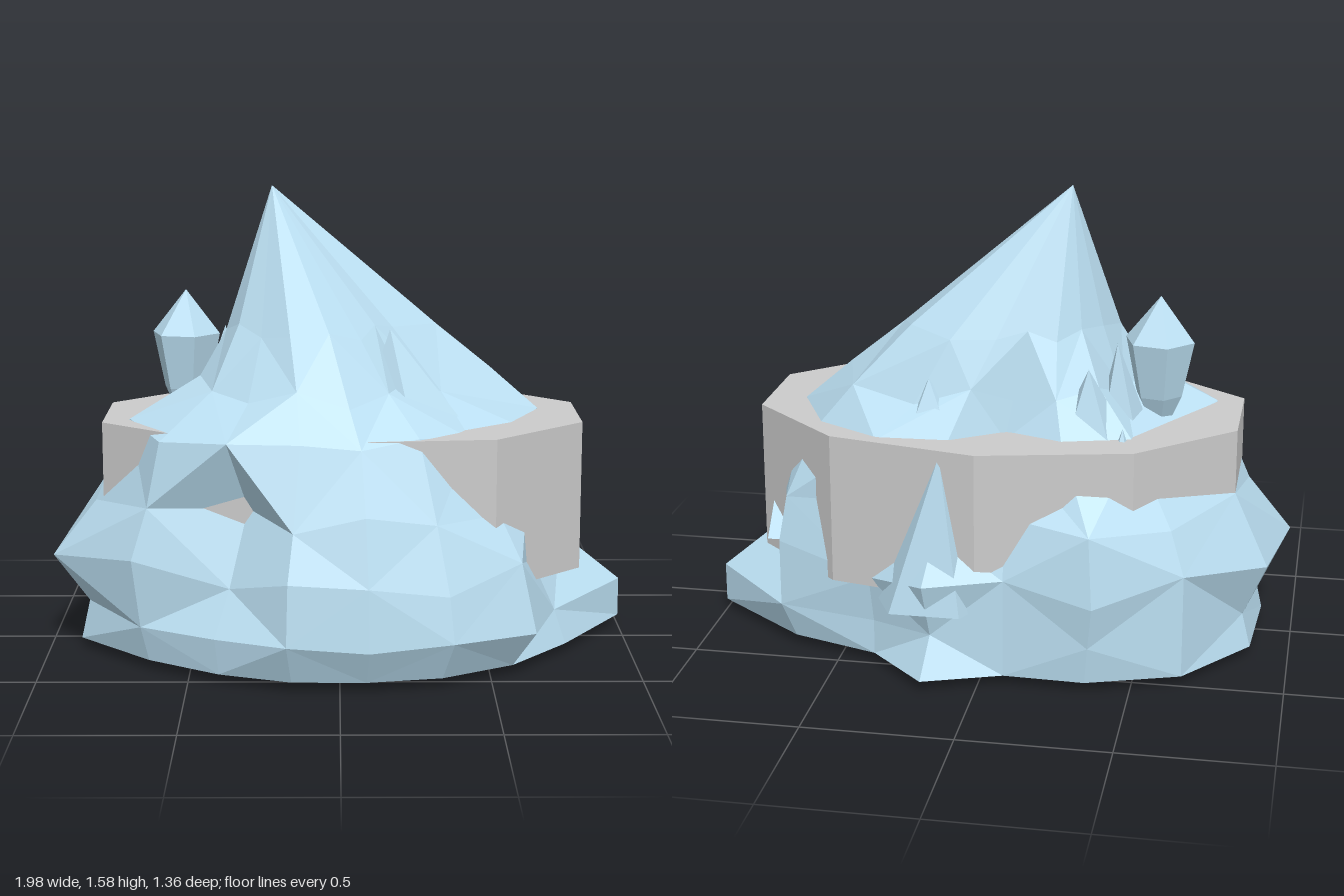
import * as THREE from 'three';

const ice = new THREE.MeshStandardMaterial({ color: 0xbbdff2, flatShading: true });
const stone = new THREE.MeshStandardMaterial({ color: 0xcccccc, flatShading: true });
const SIDES = 16;

// Rings of the mound: height, height jitter, centre x, centre z, radius per direction.
// Directions run from the model's left (+x) round through the front (+z).
const rings = [
  [0.035, 0, 0, 0, [1.01, .80, .72, .66, .62, .63, .66, .74, .9, .9, .83, .70, .6, .71, .62, .78]],
  [0.16, 0.01, 0, 0, [1.01, .76, .81, .73, .68, .69, .68, .77, .87, .87, .83, .72, .6, .63, .62, .83]],
  [0.35, 0.04, 0, 0, [.79, .68, .75, .70, .66, .67, .60, .80, .99, .95, .83, .75, .6, .69, .64, .83]],
  [0.55, 0.03, 0, 0, [.78, .66, .66, .62, .6, .6, .50, .74, .84, .83, .77, .72, .54, .58, .60, .80]],
  [0.79, 0.015, 0, 0, [.70, .63, .54, .51, .505, .51, .61, .69, .72, .62, .6, .48, .36, .48, .6, .69]],
  [0.92, 0.03, -0.03, -0.03, [.56, .39, .31, .38, .45, .44, .45, .46, .45, .4, .4, .37, .3, .36, .46, .58]],
  [1.11, 0.02, -0.08, -0.05, [.42, .27, .25, .3, .33, .33, .30, .3, .31, .27, .25, .25, .23, .27, .36, .42]],
];

function buildMound() {
  const pts = rings.map(([y, jitter, cx, cz, radii]) => radii.map((r, k) => {
    const a = THREE.MathUtils.degToRad(k * 360 / SIDES - 8);
    return [cx + r * Math.cos(a), y + jitter * Math.sin(k * 2.4 + y * 9), cz + r * Math.sin(a)];
  }));
  const apex = [-0.23, 1.58, -0.09], bottom = [0, 0, 0];
  const pos = [];
  const tri = (a, b, c) => pos.push(...a, ...b, ...c);
  const last = pts.length - 1;
  for (let k = 0; k < SIDES; k++) {
    const n = (k + 1) % SIDES;
    tri(bottom, pts[0][k], pts[0][n]);
    tri(apex, pts[last][n], pts[last][k]);
    for (let i = 0; i < last; i++) {
      const a = pts[i][k], b = pts[i][n], c = pts[i + 1][n], d = pts[i + 1][k];
      // alternate the diagonal for a chipped, faceted surface
      if ((i + k) % 2) { tri(a, d, b); tri(b, d, c); }
      else { tri(a, d, c); tri(a, c, b); }
    }
  }
  const geo = new THREE.BufferGeometry();
  geo.setAttribute('position', new THREE.Float32BufferAttribute(pos, 3));
  geo.computeVertexNormals();
  return geo;
}

// ten-sided drum whose front right corners are worn back
function buildDrum() {
  const geo = new THREE.CylinderGeometry(1, 1, 0.51, 10);
  const p = geo.attributes.position;
  for (let i = 0; i < p.count; i++) {
    if (p.getX(i) < 0.1 && p.getZ(i) > 0.75) p.setZ(i, p.getZ(i) * 0.89);
  }
  geo.scale(0.855, 1, 0.57);
  geo.computeVertexNormals();
  return geo;
}

export function createModel() {
  const group = new THREE.Group();
  const add = (name, geo, mat) => {
    const mesh = new THREE.Mesh(geo, mat);
    mesh.name = name;
    group.add(mesh);
    return mesh;
  };

  add('iceMound', buildMound(), ice);
  add('stoneDrum', buildDrum(), stone).position.set(0.01, 0.545, -0.03);

  // pointed crystal standing on the right shoulder
  const profile = [[0, 0.7], [0.08, 0.88], [0.12, 1.07], [0, 1.22]].map(p => new THREE.Vector2(...p));
  const crystal = add('crystal', new THREE.LatheGeometry(profile, 6), ice);
  crystal.position.set(-0.53, 0, -0.1);
  crystal.rotation.y = 0.3;

  // five-sided leaning shards: base centre, tip, base half-sizes
  const shard = (name, [x, y, z], tip, rx, rz) => {
    const geo = new THREE.ConeGeometry(1, 1, 5);
    const p = geo.attributes.position;
    for (let i = 0; i < p.count; i++) {
      const t = p.getY(i) + 0.5;
      p.setXYZ(i,
        x + p.getX(i) * rx + (tip[0] - x) * t,
        y + (tip[1] - y) * t,
        z + p.getZ(i) * rz + (tip[2] - z) * t);
    }
    geo.computeVertexNormals();
    add(name, geo, ice);
  };
  shard('frontShard', [0.26, 0.72, 0.16], [0.17, 1.12, 0.15], 0.24, 0.2);
  shard('backShard', [0.18, 0.72, -0.38], [0.2, 0.98, -0.38], 0.17, 0.13);
  shard('backRightShard', [-0.33, 0.7, -0.28], [-0.32, 1.02, -0.32], 0.16, 0.15);
  shard('shoulderShard', [-0.42, 0.7, -0.18], [-0.4, 1.08, -0.2], 0.12, 0.12);
  shard('leftSpur', [0.71, 0.36, -0.2], [0.78, 0.7, -0.04], 0.12, 0.17);
  shard('rearSpur', [0.17, 0.25, -0.54], [0.13, 0.78, -0.57], 0.2, 0.13);
  shard('rearChip', [-0.44, 0.5, -0.4], [-0.44, 0.84, -0.37], 0.12, 0.13);

  return group;
}
